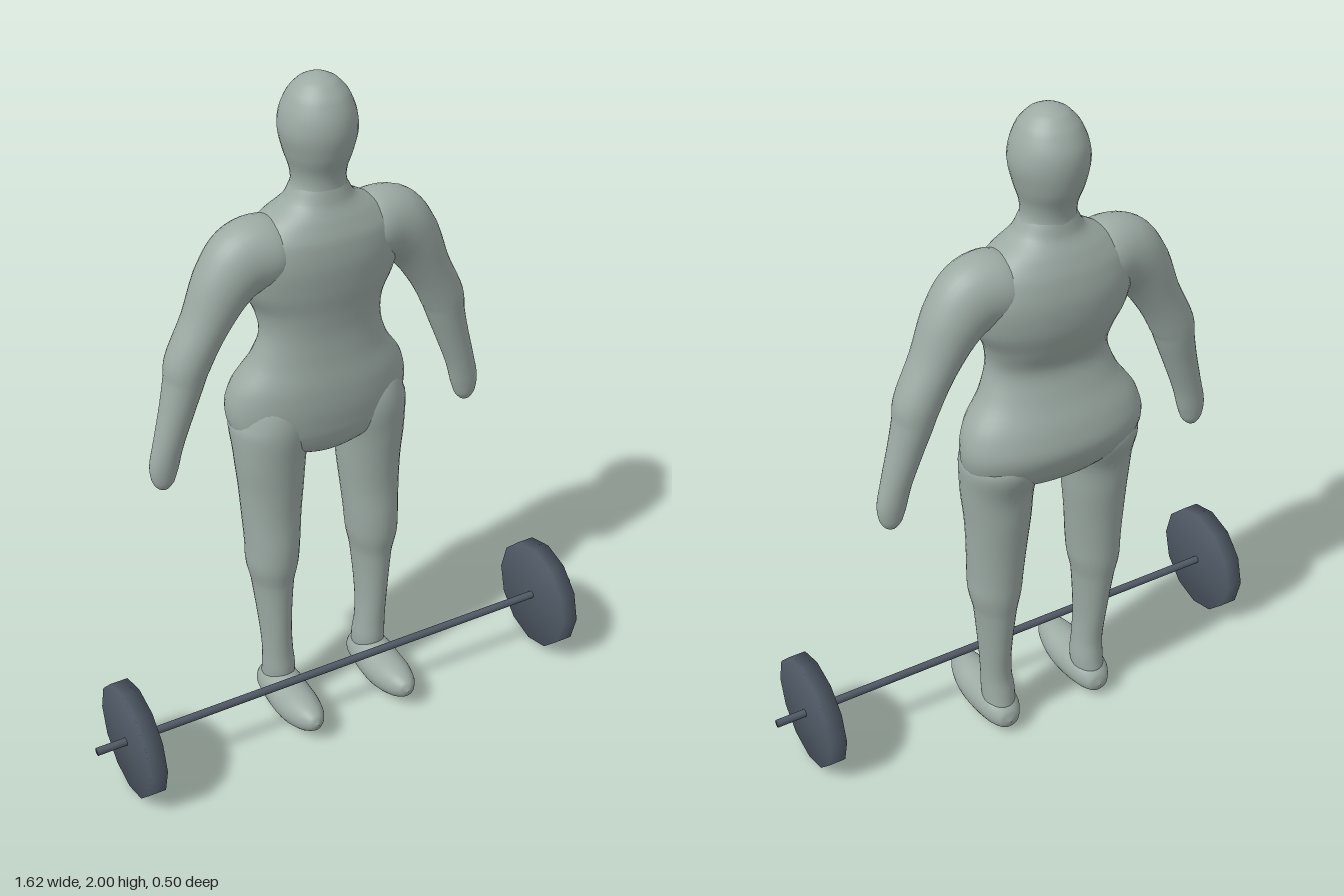
import * as THREE from 'three';
import { mergeVertices } from 'three/addons/utils/BufferGeometryUtils.js';

const skin = new THREE.MeshStandardMaterial({ color: 0x9caaa4 });
skin.name = 'greyGreenSkin';
const steel = new THREE.MeshStandardMaterial({ color: 0x4f5965 });
steel.name = 'darkSteel';

const Z = new THREE.Vector3(0, 0, 1), Y = new THREE.Vector3(0, 1, 0);

// Smooth closed loft through rows [x, y, z, halfWidth, halfDepth]; depth runs along the axis V
function loft(rows, V, side = 1, sides = 32, power = 1, steps = 5) {
  const path = new THREE.CatmullRomCurve3(rows.map(r => new THREE.Vector3(r[0] * side, r[1], r[2])));
  const size = new THREE.CatmullRomCurve3(rows.map((r, i) => new THREE.Vector3(r[3], r[4], i * 0.05)));
  const n = (rows.length - 1) * steps, pos = [], idx = [];
  const bend = c => Math.sign(c) * Math.abs(c) ** power;
  for (let i = 0; i <= n; i++) {
    const c = path.getPoint(i / n), s = size.getPoint(i / n);
    const U = new THREE.Vector3().crossVectors(V, path.getTangent(i / n)).normalize();
    for (let j = 0; j < sides; j++) {
      const a = j / sides * Math.PI * 2;
      const p = c.clone()
        .addScaledVector(U, bend(Math.cos(a)) * Math.max(s.x, 0.0005))
        .addScaledVector(V, bend(Math.sin(a)) * Math.max(s.y, 0.0005));
      pos.push(p.x, p.y, p.z);
      if (i < n) {
        const k = (j + 1) % sides, A = i * sides, B = A + sides;
        idx.push(A + j, A + k, B + k, A + j, B + k, B + j);
      }
    }
  }
  const g = new THREE.BufferGeometry();
  g.setAttribute('position', new THREE.Float32BufferAttribute(pos, 3));
  g.setIndex(idx);
  g.computeVertexNormals();
  return g;
}

// Cylinder along x whose normals are shared across the rim
function softCylinder(radius, length, sides) {
  let g = new THREE.CylinderGeometry(radius, radius, length, sides);
  g.deleteAttribute('normal');
  g.deleteAttribute('uv');
  g = mergeVertices(g);
  g.computeVertexNormals();
  return g.rotateZ(Math.PI / 2);
}

// Torso: y, half width, front z, back z
const torso = [
  [0.875, 0, -0.07, -0.08], [0.89, 0.08, -0.02, -0.13], [0.93, 0.2, 0.015, -0.185],
  [0.98, 0.262, 0.028, -0.225], [1.05, 0.276, 0.035, -0.25], [1.12, 0.26, 0.034, -0.235],
  [1.2, 0.207, 0.025, -0.2], [1.28, 0.181, 0.021, -0.177], [1.35, 0.19, 0.026, -0.2],
  [1.42, 0.225, 0.036, -0.22], [1.5, 0.24, 0.042, -0.224], [1.57, 0.222, 0.036, -0.21],
  [1.62, 0.165, 0.018, -0.188], [1.66, 0.1, 0, -0.165], [1.7, 0.075, -0.01, -0.155],
].map(([y, w, f, b]) => [0, y, (f + b) / 2, w, (f - b) / 2]);

// Neck and head
const head = [
  [1.62, 0.12, 0, -0.17], [1.66, 0.098, -0.003, -0.163], [1.7, 0.077, -0.01, -0.156],
  [1.74, 0.077, -0.006, -0.163], [1.79, 0.092, 0.013, -0.184], [1.85, 0.105, 0.026, -0.196],
  [1.9, 0.1, 0.022, -0.193], [1.95, 0.08, 0.001, -0.169], [1.982, 0.051, -0.03, -0.138],
  [1.996, 0.023, -0.06, -0.108], [2, 0, -0.084, -0.085],
].map(([y, w, f, b]) => [0, y, (f + b) / 2, w, (f - b) / 2]);

// Leg: y, inner x, outer x, front z, back z
const leg = [
  [1.12, 0.13, 0.14, -0.09, -0.1], [1.08, 0.08, 0.235, 0.0, -0.18], [1, 0.04, 0.27, 0.024, -0.215],
  [0.9, 0.055, 0.266, 0.018, -0.185], [0.8, 0.064, 0.256, 0.012, -0.177], [0.7, 0.075, 0.25, 0.01, -0.168],
  [0.6, 0.085, 0.245, 0.016, -0.162], [0.53, 0.092, 0.243, 0.014, -0.158], [0.46, 0.106, 0.228, 0.002, -0.147],
  [0.3, 0.118, 0.211, -0.004, -0.126], [0.2, 0.115, 0.205, -0.008, -0.115], [0.13, 0.108, 0.205, -0.008, -0.122],
  [0.08, 0.115, 0.2, -0.02, -0.125], [0.05, 0.15, 0.16, -0.07, -0.08],
].map(([y, i, o, f, b]) => [(i + o) / 2, y, (f + b) / 2, (o - i) / 2, (f - b) / 2]);

const foot = [
  [0.158, 0.055, -0.147, 0, 0], [0.158, 0.058, -0.137, 0.032, 0.03], [0.158, 0.067, -0.1, 0.055, 0.052],
  [0.158, 0.067, -0.04, 0.063, 0.063], [0.158, 0.062, 0.03, 0.064, 0.061], [0.158, 0.066, 0.09, 0.059, 0.056],
  [0.157, 0.072, 0.145, 0.044, 0.043], [0.156, 0.076, 0.177, 0.023, 0.024], [0.155, 0.078, 0.188, 0, 0],
];

const arm = [
  [0.08, 1.535, -0.085, 0.06, 0.07], [0.15, 1.535, -0.085, 0.097, 0.1], [0.22, 1.525, -0.085, 0.105, 0.094],
  [0.275, 1.48, -0.085, 0.09, 0.087], [0.345, 1.36, -0.086, 0.066, 0.073], [0.4, 1.25, -0.088, 0.063, 0.066],
  [0.413, 1.2, -0.088, 0.056, 0.06], [0.437, 1.12, -0.086, 0.049, 0.05], [0.468, 1.02, -0.084, 0.043, 0.04],
  [0.485, 0.95, -0.084, 0.042, 0.034], [0.49, 0.905, -0.084, 0.032, 0.027], [0.492, 0.884, -0.084, 0.017, 0.016],
  [0.493, 0.876, -0.084, 0, 0],
];

export function createModel() {
  const model = new THREE.Group();
  model.name = 'figureWithBarbell';
  const add = (parent, name, geometry, material, x = 0) => {
    const m = new THREE.Mesh(geometry, material);
    m.name = name;
    m.position.x = x;
    parent.add(m);
    return m;
  };

  const body = new THREE.Group();
  body.name = 'body';
  add(body, 'torso', loft(torso, Z, 1, 40, 0.92), skin);
  add(body, 'head', loft(head, Z), skin);
  for (const [side, label] of [[1, 'left'], [-1, 'right']]) {
    add(body, label + 'Arm', loft(arm, Z, side), skin);
    add(body, label + 'Leg', loft(leg, Z, side), skin);
    add(body, label + 'Foot', loft(foot, Y, side), skin);
  }
  model.add(body);

  // Barbell on the floor in front of the shins
  const barbell = new THREE.Group();
  barbell.name = 'barbell';
  barbell.position.set(0, 0.18, 0.08);
  add(barbell, 'bar', softCylinder(0.012, 1.62, 12), steel);
  for (const side of [1, -1]) {
    add(barbell, side > 0 ? 'leftPlate' : 'rightPlate', softCylinder(0.172, 0.052, 12), steel, side * 0.695);
  }
  model.add(barbell);
  return model;
}
